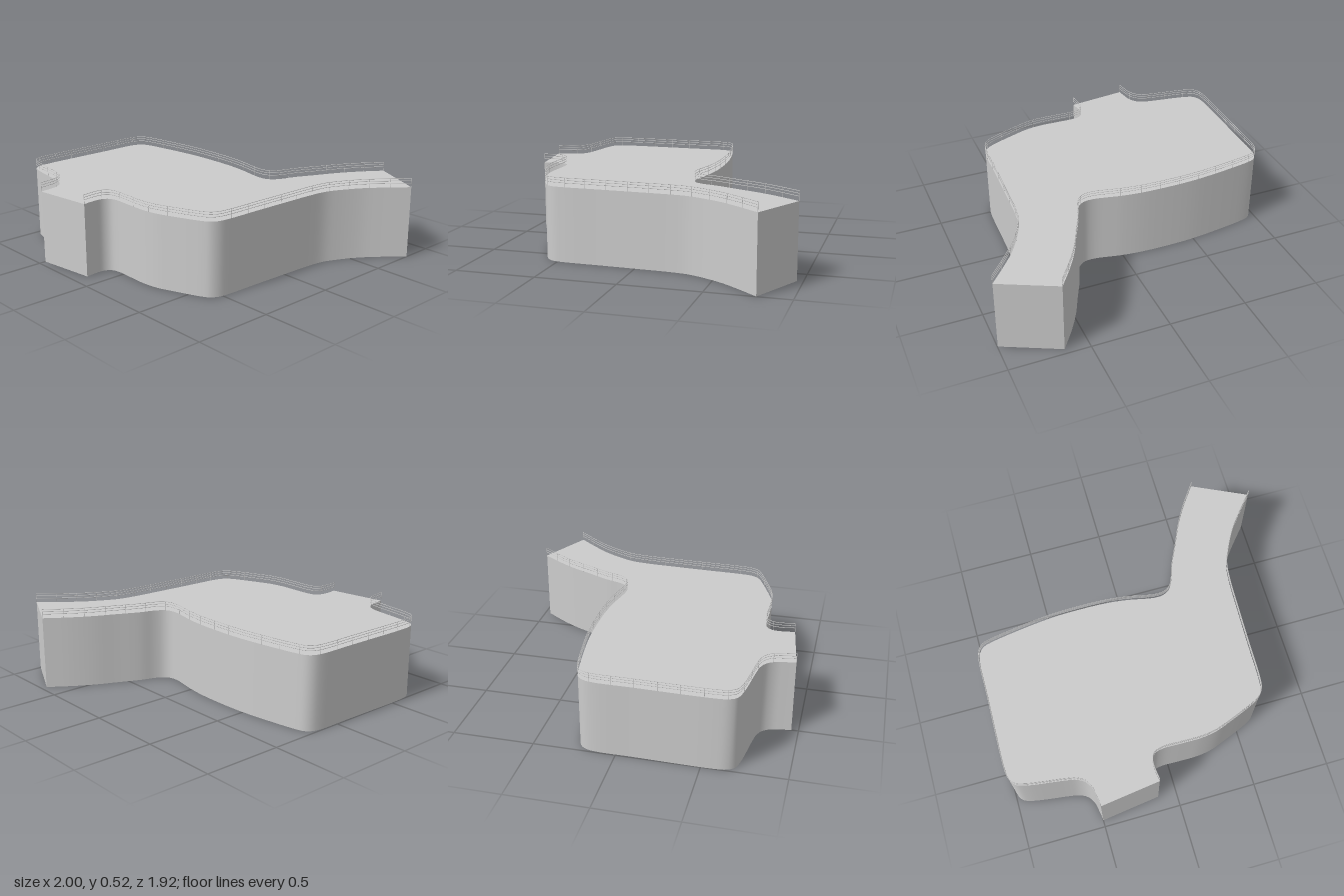
import * as THREE from 'three';

const DECK = 0.465, RAIL_TOP = 0.523;
const grey = new THREE.MeshStandardMaterial({ color: 0xcccccc, side: THREE.DoubleSide });

// Plan outline as two open edges [x, z], counter-clockwise seen from above
const rightEdge = [
  [-0.12, 0.907], [-0.13, 0.82], [-0.125, 0.77], [-0.1, 0.735], [-0.05, 0.72], [0.08, 0.72], [0.2, 0.72],
  [0.3, 0.705], [0.4, 0.67], [0.58, 0.595], [0.62, 0.568], [0.645, 0.525], [0.655, 0.46], [0.662, 0.23],
  [0.67, 0], [0.68, -0.22], [0.695, -0.33], [0.73, -0.42], [0.8, -0.55], [0.87, -0.645], [0.997, -0.797],
];
const leftEdge = [
  [0.65, -0.963], [0.55, -0.82], [0.48, -0.7], [0.42, -0.57], [0.35, -0.42], [0.32, -0.33], [0.29, -0.28],
  [0.25, -0.255], [0.19, -0.25], [0, -0.285], [-0.15, -0.3], [-0.43, -0.3], [-0.6, -0.285], [-0.9, -0.238],
  [-0.945, -0.223], [-0.975, -0.19], [-0.99, -0.13], [-0.993, 0.1], [-0.998, 0.58], [-0.99, 0.645],
  [-0.965, 0.688], [-0.91, 0.71], [-0.65, 0.75], [-0.6, 0.761], [-0.55, 0.79], [-0.52, 0.84], [-0.51, 0.89],
  [-0.5, 0.957],
];

function edgeCurve(points) {
  return new THREE.CatmullRomCurve3(points.map(([x, z]) => new THREE.Vector3(x, 0, z)));
}

// Vertical strip from the ground to the deck along a line of points
function wallGeometry(points) {
  const positions = [], index = [];
  points.forEach((p, i) => {
    positions.push(p.x, 0, p.z, p.x, DECK, p.z);
    if (i === 0) return;
    const a = 2 * (i - 1);
    index.push(a, a + 2, a + 3, a, a + 3, a + 1);
  });
  const geometry = new THREE.BufferGeometry();
  geometry.setAttribute('position', new THREE.Float32BufferAttribute(positions, 3));
  geometry.setIndex(index);
  geometry.computeVertexNormals();
  return geometry;
}

// Three thin bars on evenly spaced posts
function railing(curve, name) {
  const group = new THREE.Group();
  group.name = name;
  for (const y of [0.492, 0.508, RAIL_TOP]) {
    const bar = new THREE.Mesh(new THREE.TubeGeometry(curve, 160, 0.002, 4), grey);
    bar.name = 'railBar';
    bar.position.y = y;
    group.add(bar);
  }
  const height = RAIL_TOP - DECK;
  const postGeometry = new THREE.CylinderGeometry(0.0015, 0.0015, height, 4);
  for (const p of curve.getSpacedPoints(Math.round(curve.getLength() / 0.13))) {
    const post = new THREE.Mesh(postGeometry, grey);
    post.name = 'railPost';
    post.position.set(p.x, DECK + height / 2, p.z);
    group.add(post);
  }
  return group;
}

export function createModel() {
  const model = new THREE.Group();
  model.name = 'raisedPlatform';
  const add = (geometry, name) => {
    const mesh = new THREE.Mesh(geometry, grey);
    mesh.name = name;
    model.add(mesh);
    return mesh;
  };

  const curves = [edgeCurve(rightEdge), edgeCurve(leftEdge)];
  const [right, left] = curves.map((c) => c.getSpacedPoints(160));

  // Curved side walls and flat end walls, open underneath
  add(wallGeometry(right), 'leftWall');
  add(wallGeometry(left), 'rightWall');
  add(wallGeometry([right.at(-1), left[0]]), 'rampEndWall');
  add(wallGeometry([left.at(-1), right[0]]), 'frontEndWall');

  // Deck surface
  const outline = [...right, ...left].map((p) => new THREE.Vector2(p.x, -p.z));
  const deck = new THREE.ShapeGeometry(new THREE.Shape(outline));
  deck.rotateX(-Math.PI / 2);
  add(deck, 'deck').position.y = DECK;

  // Railings along both curved edges, leaving the ends open
  model.add(railing(curves[0], 'leftRailing'), railing(curves[1], 'rightRailing'));
  return model;
}
